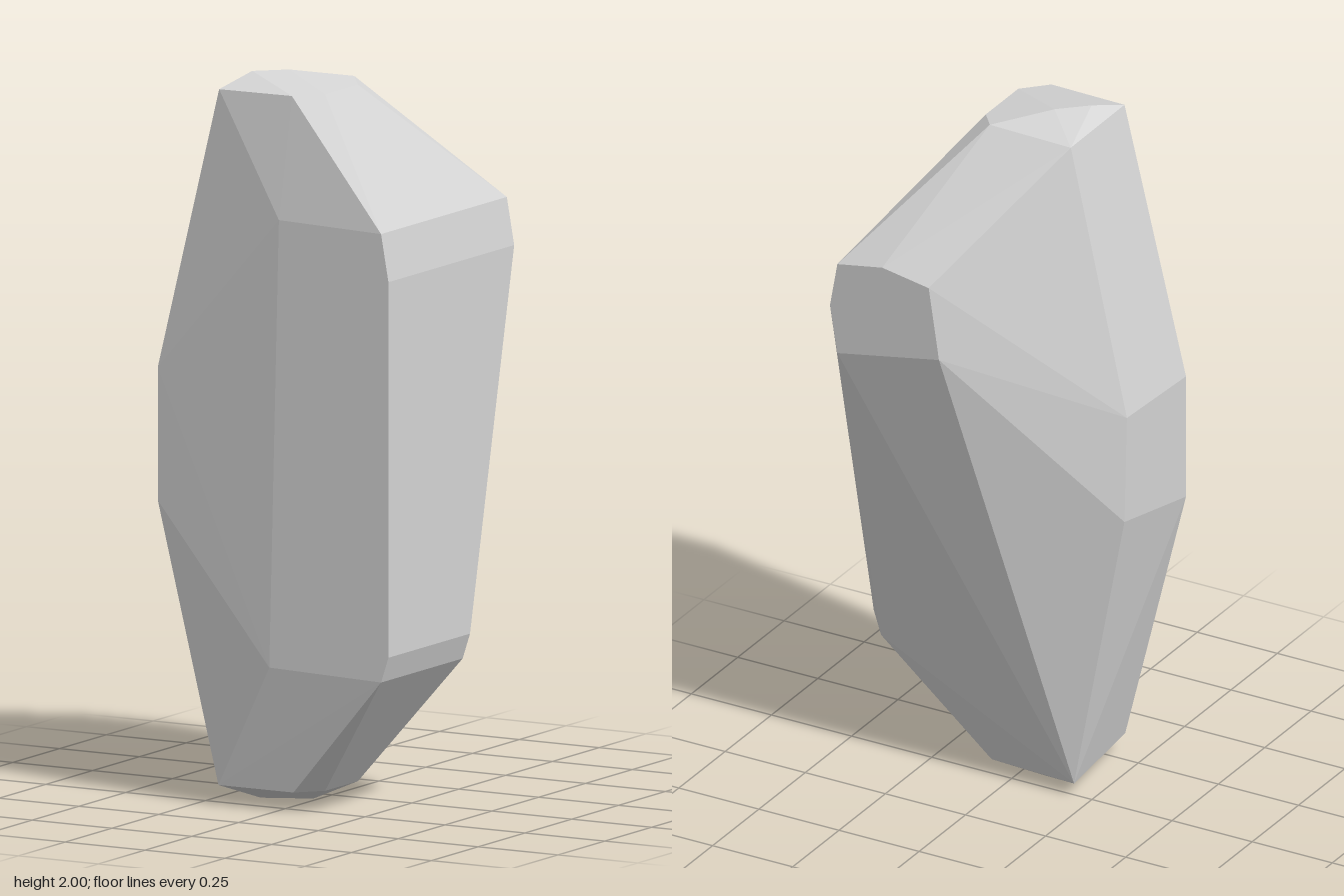
import * as THREE from 'three';
import { ConvexGeometry } from 'three/addons/geometries/ConvexGeometry.js';

// A tall faceted rock: the convex hull of its corner points.
export function createModel() {
  const group = new THREE.Group();
  group.name = 'rock';

  const stone = new THREE.MeshStandardMaterial({ color: 0xd5d5d5 });
  stone.name = 'pale grey stone';

  const corners = [
    // top cap
    [-0.145, 2.0, 0.18], [-0.07, 2.0, 0.11],
    [-0.184, 1.963, 0.29], [-0.19, 1.967, -0.01],
    [0.045, 1.965, 0.292], [0.11, 1.965, 0.225], [0.11, 1.965, 0.05], [0.06, 1.975, -0.015],
    // shoulder, front and back
    [0.03, 1.63, 0.336], [0.35, 1.62, 0.336],
    [0.35, 1.62, -0.336], [0.21, 1.645, -0.336], [0.065, 1.62, -0.336],
    [0.033, 1.41, -0.336], [0.35, 1.35, -0.336],
    // right side
    [0.373, 1.49, 0.336], [0.373, 1.49, -0.336], [0.373, 0.46, 0.336], [0.373, 0.46, -0.1],
    // left side
    [-0.373, 1.185, 0.295], [-0.373, 1.2, -0.024], [-0.373, 0.82, 0.295], [-0.373, 0.89, -0.037],
    // lower shoulder
    [0.0, 0.4, 0.336], [0.35, 0.39, 0.336], [0.35, 0.39, -0.1],
    // bottom cap
    [-0.185, 0.055, 0.292], [-0.2, 0.04, -0.01],
    [0.05, 0.055, 0.292], [0.11, 0.055, 0.225], [0.11, 0.055, 0.05], [0.06, 0.045, -0.005],
    [-0.13, 0.005, 0.16], [-0.07, 0.0, 0.06], [0.0, 0.005, 0.1],
  ].map((p) => new THREE.Vector3(...p));

  const body = new THREE.Mesh(new ConvexGeometry(corners), stone);
  body.name = 'rockBody';
  group.add(body);
  return group;
}
